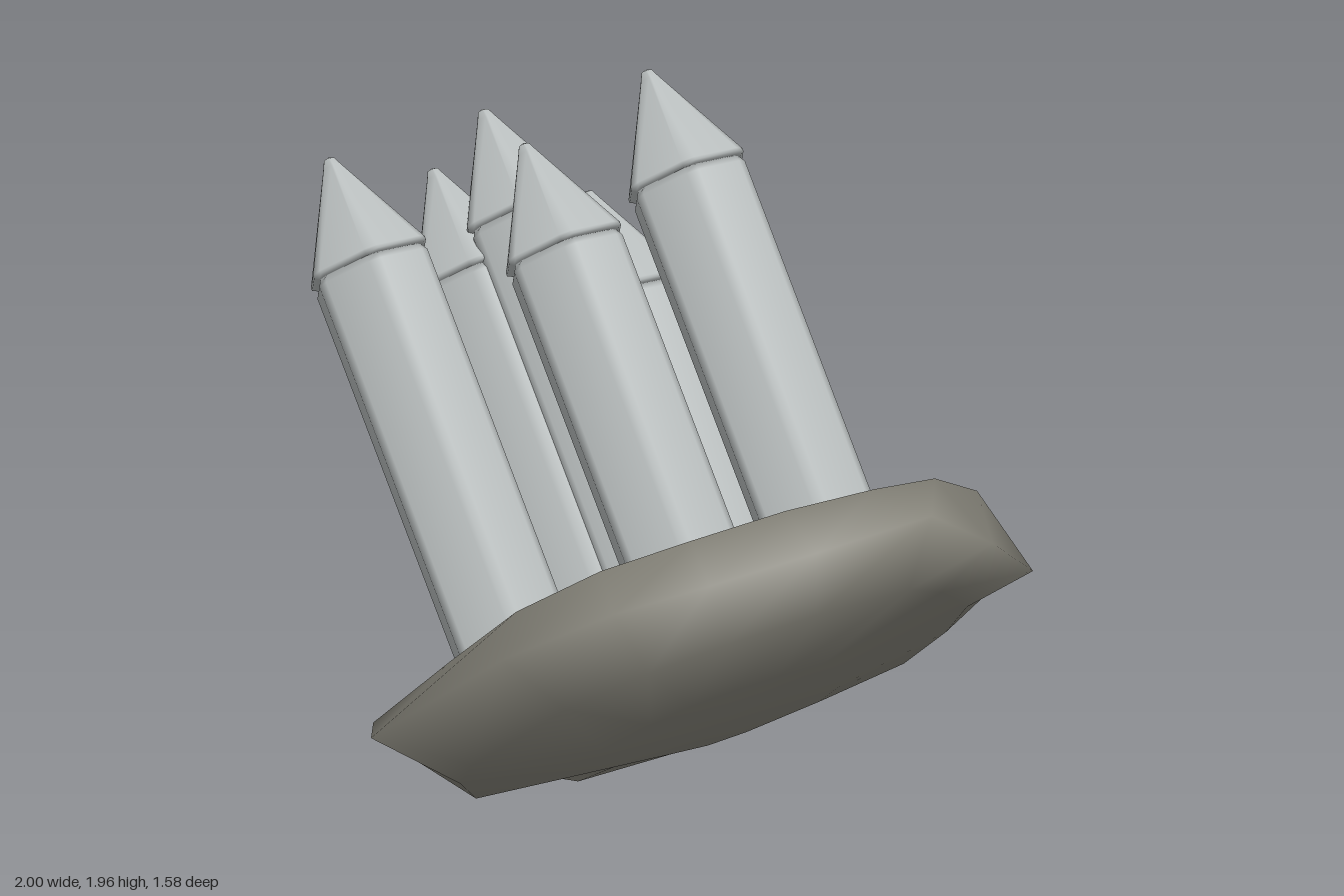
import * as THREE from 'three';
import { mergeVertices } from 'three/addons/utils/BufferGeometryUtils.js';

// Skin closed rings, listed from bottom to top; each ring is a list of [x, y, z]
function loft(rings) {
  const n = rings[0].length, index = [];
  for (let i = 0; i < rings.length - 1; i++) {
    for (let j = 0; j < n; j++) {
      const k = (j + 1) % n;
      const a = i * n + j, b = i * n + k, c = a + n, d = b + n;
      index.push(a, c, b, b, c, d);
    }
  }
  const geo = new THREE.BufferGeometry();
  geo.setAttribute('position', new THREE.Float32BufferAttribute(rings.flat(2), 3));
  geo.setIndex(index);
  const merged = mergeVertices(geo, 1e-4);
  merged.computeVertexNormals();
  return merged;
}

function polar(deg, r, y) {
  const t = THREE.MathUtils.degToRad(deg);
  return [r * Math.cos(t), y, r * Math.sin(t)];
}

// Prism with a hexagonal section and narrow bevelled corners; profile is [radius, y]
function hexLoft(profile) {
  return loft(profile.map(([r, y]) => {
    const ring = [];
    for (let k = 0; k < 6; k++) ring.push(polar(k * 60 - 6, r, y), polar(k * 60 + 6, r, y));
    return ring;
  }));
}

// Rim of the rock: [angle, radius, height, upper edge share, lower edge share]
const RIM = [
  [-151, 0.725, -0.108, 0.78, 0.76], [-128, 0.665, 0.06, 0.9, 0.87], [-106, 0.7, 0.08, 0.93, 0.85],
  [-69, 0.85, -0.02, 0.94, 0.86], [-50, 0.91, -0.05, 0.94, 0.8], [-32, 0.945, -0.1, 0.93, 0.78],
  [-7, 0.893, -0.07, 0.9, 0.79], [9, 0.86, 0.02, 0.83, 0.82], [33, 0.71, 0.01, 0.9, 0.85],
  [59, 0.645, 0.02, 0.95, 0.88], [82, 0.72, 0.03, 0.95, 0.83], [105, 0.84, 0.03, 0.84, 0.78],
  [136, 1.0, 0.02, 0.7, 0.75], [150, 0.92, 0.11, 0.78, 0.82], [170, 0.885, 0.06, 0.82, 0.84],
];
// Layers of the rock, bottom to top, as [radius, height] for one rim entry
const layers = (r, y, top, low) => [
  [0, -0.225], [0.5 * low * r, -0.205], [low * r, -0.135], [r, y], [top * r, 0.165], [0.55 * top * r, 0.2], [0, 0.2],
];

// Tips of the crystals
const TIPS = [
  [-0.99, 1.72, -0.27], [-0.77, 1.63, -0.52], [-0.64, 1.80, -0.57], [-0.445, 1.80, -0.33],
  [-0.18, 1.95, -0.61], [-0.80, 1.45, -0.71], [-0.395, 1.53, -0.745],
];

export function createModel() {
  const stone = new THREE.MeshStandardMaterial({ color: 0x86847a });
  stone.name = 'olive stone';
  const crystal = new THREE.MeshStandardMaterial({ color: 0xb8bdbd });
  crystal.name = 'pale grey crystal';

  // The whole cluster leans back to one side
  const up = new THREE.Vector3(-0.482, 0.798, -0.362).normalize();
  const front = new THREE.Vector3(0.867, 0.498, -0.027).cross(up).normalize();
  const side = new THREE.Vector3().crossVectors(up, front);
  const cluster = new THREE.Group();
  cluster.name = 'cluster';
  cluster.quaternion.setFromRotationMatrix(new THREE.Matrix4().makeBasis(side, up, front));
  cluster.position.set(0.185, 0.515, 0.04);
  const inverse = cluster.quaternion.clone().invert();

  // Rock base
  const columns = RIM.map(([deg, ...shape]) => layers(...shape).map(([r, y]) => polar(deg, r, y)));
  const rock = new THREE.Mesh(loft(columns[0].map((_, i) => columns.map((c) => c[i]))), stone);
  rock.name = 'rockBase';
  cluster.add(rock);

  // Crystals: hexagonal shaft, thin groove and pointed cap
  const capGeo = hexLoft([[0, -0.33], [0.167, -0.33], [0.18, -0.323], [0.18, -0.314], [0.028, -0.03], [0.016, -0.006], [0, 0]]);
  TIPS.forEach((tip, i) => {
    const p = new THREE.Vector3(...tip).sub(cluster.position).applyQuaternion(inverse);
    const one = new THREE.Group();
    one.name = 'crystal' + (i + 1);
    one.position.copy(p);
    const shaft = new THREE.Mesh(
      hexLoft([[0, -p.y], [0.174, -p.y], [0.174, -0.35], [0.162, -0.33], [0, -0.33]]), crystal);
    shaft.name = 'shaft';
    const cap = new THREE.Mesh(capGeo, crystal);
    cap.name = 'cap';
    one.add(shaft, cap);
    cluster.add(one);
  });

  const model = new THREE.Group();
  model.name = 'crystalCluster';
  model.add(cluster);
  return model;
}
